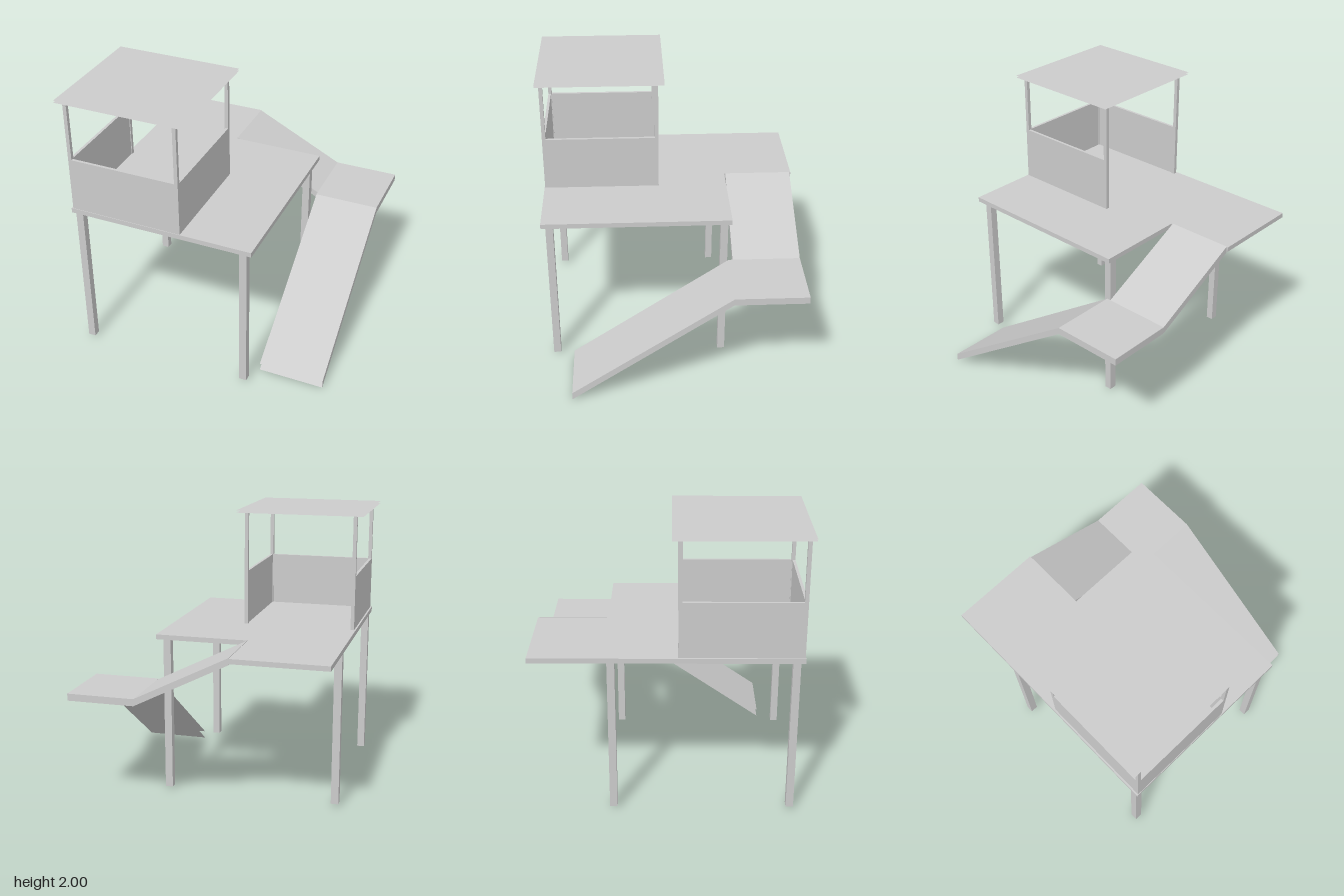
import * as THREE from 'three';

const grey = new THREE.MeshStandardMaterial({ color: 0xcccccc, side: THREE.DoubleSide });
grey.name = 'grey';

export function createModel() {
  const model = new THREE.Group();
  model.name = 'playTower';

  const add = (name, geometry) => {
    const mesh = new THREE.Mesh(geometry, grey);
    mesh.name = name;
    model.add(mesh);
    return mesh;
  };

  // Box given by its lower and upper limits on each axis
  const box = (name, x0, x1, y0, y1, z0, z1) => {
    const mesh = add(name, new THREE.BoxGeometry(x1 - x0, y1 - y0, z1 - z0));
    mesh.position.set((x0 + x1) / 2, (y0 + y1) / 2, (z0 + z1) / 2);
  };

  const prism = (points, depth) => new THREE.ExtrudeGeometry(
    new THREE.Shape(points.map(([x, y]) => new THREE.Vector2(x, y))),
    { depth, bevelEnabled: false });

  // Platform with a notch at the back for the ramp (outline in x, -z)
  const deck = prism([
    [-0.89, -0.9], [0.45, -0.9], [0.45, 0.43], [-0.22, 0.43], [-0.22, 0.93], [-0.89, 0.93],
  ], 0.035);
  deck.rotateX(-Math.PI / 2);
  deck.translate(0, 1.13, 0);
  add('platform', deck);

  // Supporting legs
  for (const x of [-0.848, 0.378])
    for (const z of [0.845, -0.38])
      box('leg', x - 0.027, x + 0.027, 0.015, 1.13, z - 0.026, z + 0.026);

  // Cabin posts
  for (const x of [-0.865, -0.078])
    for (const z of [0.883, 0.078])
      box('cabinPost', x - 0.013, x + 0.013, 1.165, 1.985, z - 0.013, z + 0.013);

  // Cabin walls, open at the back
  box('frontWall', -0.865, -0.07, 1.165, 1.555, 0.876, 0.896);
  box('leftWall', -0.085, -0.065, 1.165, 1.555, 0.065, 0.896);
  box('rightWall', -0.878, -0.858, 1.165, 1.555, 0.065, 0.896);

  // Roof of two thin sheets
  for (const y of [1.985, 2]) {
    const sheet = new THREE.PlaneGeometry(0.92, 0.9);
    sheet.rotateX(y === 2 ? -Math.PI / 2 : Math.PI / 2);
    add('roofSheet', sheet).position.set(-0.468, y, 0.472);
  }

  // Ramp down from the platform to the landing
  const ramp = prism([[-0.22, 1.12], [0.445, 0.785], [0.445, 0.835], [-0.22, 1.168]], 0.48);
  ramp.translate(0, 0, -0.92);
  add('ramp', ramp);

  box('landing', 0.445, 0.922, 0.785, 0.835, -0.92, -0.41);

  // Slide: top, outer side and bottom, open at its foot and inner side
  const section = (yTop, yBottom, z) => [
    [0.447, yTop, z], [0.922, yTop, z], [0.922, yBottom, z], [0.447, yBottom, z],
  ];
  const head = section(0.835, 0.785, -0.41);
  const foot = section(0.055, 0, 0.715);
  const corners = [];
  for (let i = 0; i < 3; i++)
    corners.push(head[i], foot[i], foot[i + 1], head[i], foot[i + 1], head[i + 1]);
  const slide = new THREE.BufferGeometry();
  slide.setAttribute('position', new THREE.Float32BufferAttribute(corners.flat(), 3));
  slide.computeVertexNormals();
  add('slide', slide);

  return model;
}
